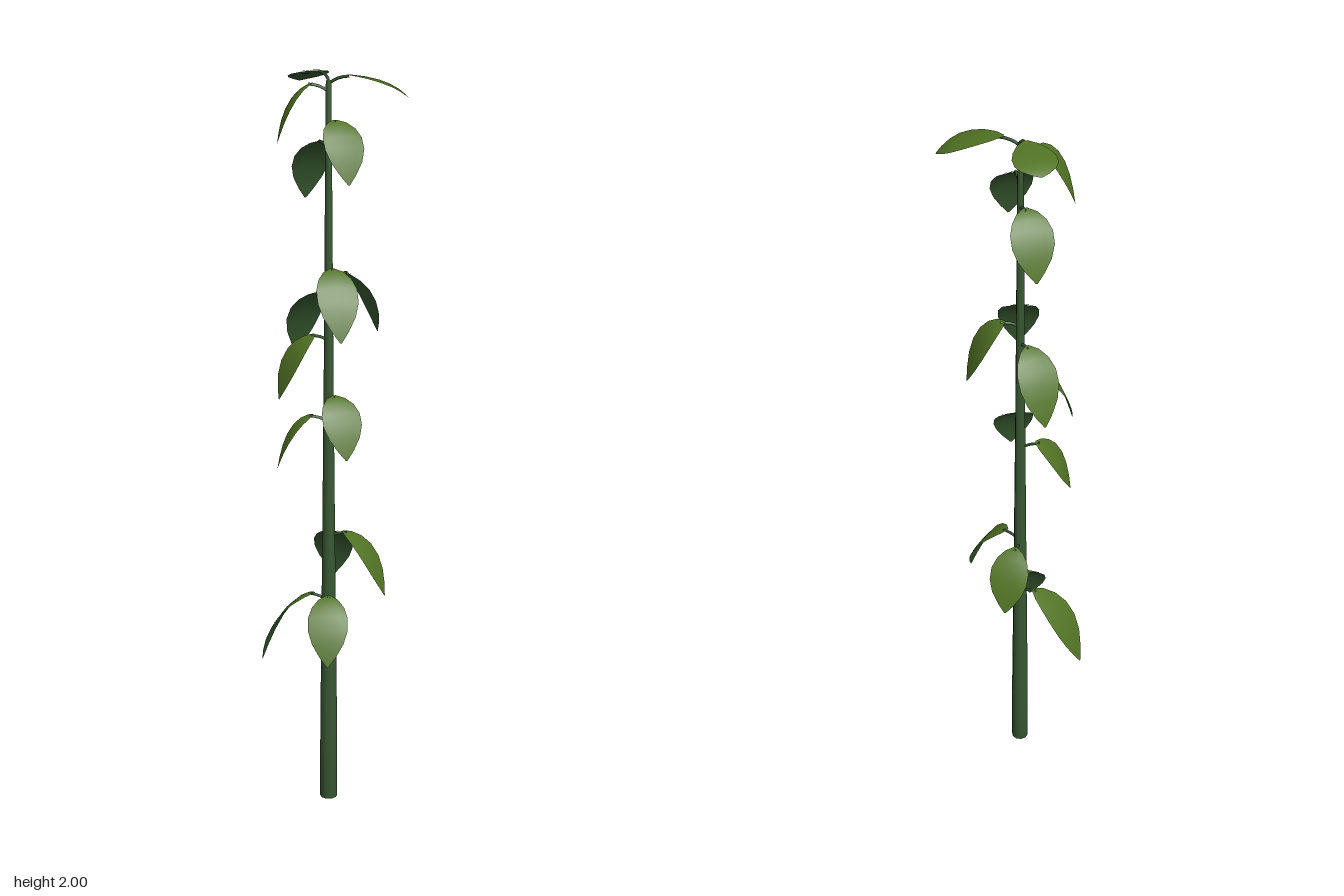
import * as THREE from 'three';

const material = (name, color) => {
  const m = new THREE.MeshStandardMaterial({ color });
  m.name = name;
  return m;
};

const STEM_X = 0.013, STEM_Z = 0.01;

// Each leaf: height of its shoulder, then its tip (x, y, z)
const LEAVES = [
  [0.600, -0.142, 0.390, 0.125], [0.610, 0.130, 0.445, 0.100],
  [0.770, -0.090, 0.615, -0.088], [0.785, 0.145, 0.615, -0.080],
  [1.105, -0.060, 0.960, 0.125], [1.165, 0.140, 1.010, 0.045],
  [1.325, -0.015, 1.160, 0.150], [1.430, -0.140, 1.250, 0.005],
  [1.485, 0.045, 1.320, -0.127], [1.500, 0.148, 1.325, 0.070],
  [1.820, -0.120, 1.665, -0.012], [1.875, 0.140, 1.720, 0.040],
  [1.965, -0.050, 1.815, 0.125], [1.985, 0.135, 1.925, -0.154],
  [1.995, -0.155, 1.965, -0.020],
];

// Half width of the blade at each station along it
const STATIONS = [
  [0, 0.005], [0.1, 0.026], [0.25, 0.043], [0.42, 0.053],
  [0.6, 0.053], [0.76, 0.042], [0.9, 0.022], [1, 0.002],
];

// Skin of a blade following a curve; flipped for the underside
function bladeGeometry(curve, side, lift, flip) {
  const positions = [], index = [], columns = 4;
  STATIONS.forEach(([t, half], i) => {
    const p = curve.getPoint(t);
    for (let j = 0; j <= columns; j++) {
      const u = (j / columns) * 2 - 1;
      const v = p.clone().addScaledVector(side, u * half);
      positions.push(v.x, v.y + lift - 0.005 * u * u * Math.sin(Math.PI * t), v.z);
      if (i === 0 || j === 0) continue;
      const d = i * (columns + 1) + j, c = d - 1;
      const b = d - columns - 1, a = b - 1;
      if (flip) index.push(a, c, b, b, c, d);
      else index.push(a, b, c, b, d, c);
    }
  });
  const g = new THREE.BufferGeometry();
  g.setAttribute('position', new THREE.Float32BufferAttribute(positions, 3));
  g.setIndex(index);
  g.computeVertexNormals();
  return g;
}

function addMesh(parent, name, geometry, mat) {
  const mesh = new THREE.Mesh(geometry, mat);
  mesh.name = name;
  parent.add(mesh);
}

export function createModel() {
  const model = new THREE.Group();
  model.name = 'leafyStalk';
  const stemGreen = material('stem green', 0x385832);
  const leafGreen = material('leaf green', 0x527424);
  const undersideGreen = material('leaf underside green', 0x385a30);

  // Tapering stalk
  const profile = [
    [0, 0], [0.024, 0], [0.0235, 0.2], [0.018, 0.7],
    [0.013, 1.2], [0.009, 1.75], [0.007, 1.97], [0, 1.975],
  ].map(([r, y]) => new THREE.Vector2(r, y));
  const stalk = new THREE.LatheGeometry(profile, 10);
  stalk.translate(STEM_X, 0, STEM_Z);
  addMesh(model, 'stalk', stalk, stemGreen);

  for (const [shoulder, x, y, z] of LEAVES) {
    const leaf = new THREE.Group();
    leaf.name = 'leaf';
    model.add(leaf);

    const dir = new THREE.Vector3(x - STEM_X, 0, z - STEM_Z);
    const reach = dir.length();
    dir.normalize();
    const side = new THREE.Vector3(-dir.z, 0, dir.x);
    const at = (r, h) => new THREE.Vector3(STEM_X + dir.x * r, h, STEM_Z + dir.z * r);
    const start = 0.04;

    // Leaf stalk rising from the stem
    const petiole = new THREE.QuadraticBezierCurve3(
      at(0, shoulder - 0.022), at(0.02, shoulder - 0.004), at(start + 0.012, shoulder - 0.003));
    addMesh(leaf, 'leafStalk', new THREE.TubeGeometry(petiole, 4, 0.004, 5), stemGreen);

    // Drooping blade with an upper and a lower skin
    const blade = new THREE.QuadraticBezierCurve3(
      at(start, shoulder),
      at(start + 0.72 * (reach - start), shoulder - 0.15 * (shoulder - y) + 0.005),
      at(reach, y));
    addMesh(leaf, 'leafTop', bladeGeometry(blade, side, 0.001, false), leafGreen);
    addMesh(leaf, 'leafUnderside', bladeGeometry(blade, side, -0.001, true), undersideGreen);
  }
  return model;
}
